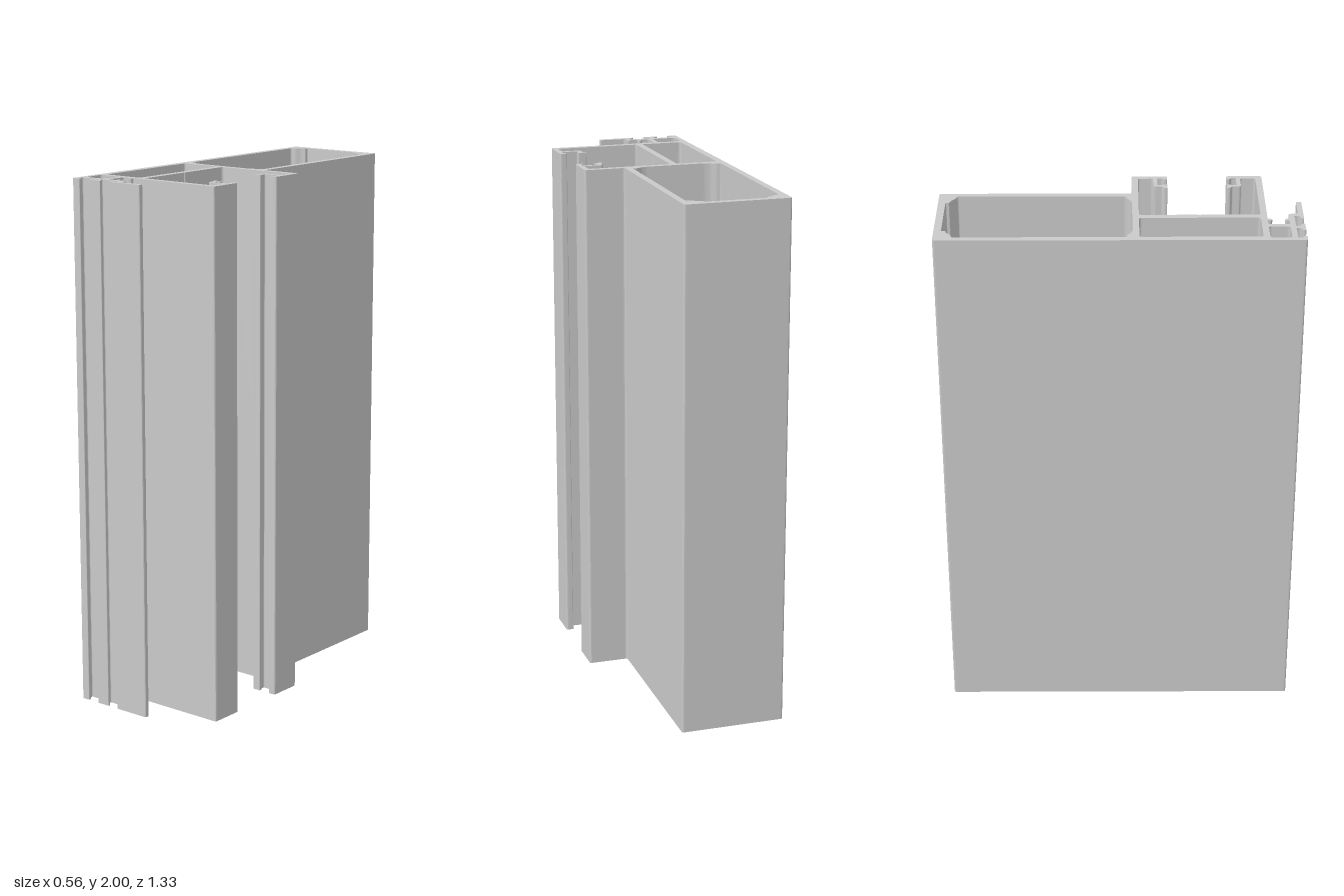
import * as THREE from 'three';

const HEIGHT = 2;

// Trace a closed [x, z] outline with slightly rounded corners (shape y = -z).
// Points are listed clockwise and reversed here so that all walls face outwards.
function trace(path, pts, radius) {
  const v = pts.map(([x, z]) => new THREE.Vector2(x, -z)).reverse();
  v.forEach((p, i) => {
    const prev = v[(i + v.length - 1) % v.length];
    const next = v[(i + 1) % v.length];
    const r = Math.min(radius, 0.3 * p.distanceTo(prev), 0.3 * p.distanceTo(next));
    const a = p.clone().add(prev.clone().sub(p).setLength(r));
    const b = p.clone().add(next.clone().sub(p).setLength(r));
    if (i === 0) path.moveTo(a.x, a.y);
    else path.lineTo(a.x, a.y);
    path.quadraticCurveTo(p.x, p.y, b.x, b.y);
  });
  path.closePath();
  return path;
}

export function createModel() {
  const group = new THREE.Group();
  group.name = 'framingProfile';
  const aluminium = new THREE.MeshStandardMaterial({ color: 0xcacaca });
  aluminium.name = 'aluminium grey';

  // Arm with hooked clip, from its outer root to the inside of the channel
  const clip = [
    [0.278, 0.045], [0.278, 0.178], [0.25, 0.178], [0.25, 0.166],
    [0.26, 0.159], [0.26, 0.142], [0.197, 0.142], [0.197, 0.159],
    [0.204, 0.166], [0.204, 0.178], [0.172, 0.178], [0.172, 0.166],
    [0.183, 0.159], [0.183, 0.126], [0.256, 0.126], [0.256, 0.069],
  ];
  const mirroredClip = clip.map(([x, z]) => [x, 0.578 - z]).reverse();

  // Outer contour
  const outline = [
    [-0.278, -0.665], [0.122, -0.665], [0.122, 0.045],
    ...clip,
    [-0.065, 0.069], [-0.065, 0.285], [-0.069, 0.289], [-0.065, 0.293], [-0.065, 0.509],
    ...mirroredClip,
    // gasket slot with two small ridges
    [-0.1, 0.533], [-0.1, 0.544], [-0.108, 0.55], [-0.116, 0.544], [-0.116, 0.533],
    [-0.147, 0.533], [-0.147, 0.611],
    [-0.116, 0.611], [-0.116, 0.6], [-0.108, 0.594], [-0.1, 0.6], [-0.1, 0.611],
    // front lip
    [-0.058, 0.611], [-0.058, 0.645], [0.045, 0.645], [0.045, 0.665],
    [-0.097, 0.665], [-0.097, 0.657], [-0.077, 0.647], [-0.077, 0.631],
    // T-shaped foot
    [-0.161, 0.631], [-0.161, 0.647], [-0.143, 0.655], [-0.143, 0.665],
    [-0.197, 0.665], [-0.197, 0.655], [-0.179, 0.647], [-0.179, 0.631],
    // left foot
    [-0.257, 0.631], [-0.257, 0.647], [-0.243, 0.655], [-0.243, 0.665], [-0.278, 0.665],
  ];

  // Large chamber with thickened corners, mirrored about its middle
  const cx = -0.078;
  const half = [
    [0.12, -0.638], [0.12, -0.624], [0.138, -0.618], [0.155, -0.603], [0.174, -0.598],
    [0.174, 0.022], [0.157, 0.026], [0.137, 0.04], [0.117, 0.045],
  ];
  const mainChamber = [
    ...half.map(([x, z]) => [cx + x, z]),
    ...half.map(([x, z]) => [cx - x, z]).reverse(),
  ];
  const middleChamber = [[-0.25, 0.069], [-0.091, 0.069], [-0.091, 0.509], [-0.25, 0.509]];
  const smallChamber = [[-0.257, 0.533], [-0.165, 0.533], [-0.165, 0.611], [-0.257, 0.611]];

  const section = trace(new THREE.Shape(), outline, 0.009);
  for (const hole of [mainChamber, middleChamber, smallChamber])
    section.holes.push(trace(new THREE.Path(), hole, 0.012));

  // Stand the extrusion upright on y = 0
  const geometry = new THREE.ExtrudeGeometry(section, {
    depth: HEIGHT, bevelEnabled: false, curveSegments: 4,
  });
  geometry.rotateX(-Math.PI / 2);
  const profile = new THREE.Mesh(geometry, aluminium);
  profile.name = 'extrudedProfile';
  group.add(profile);
  return group;
}
